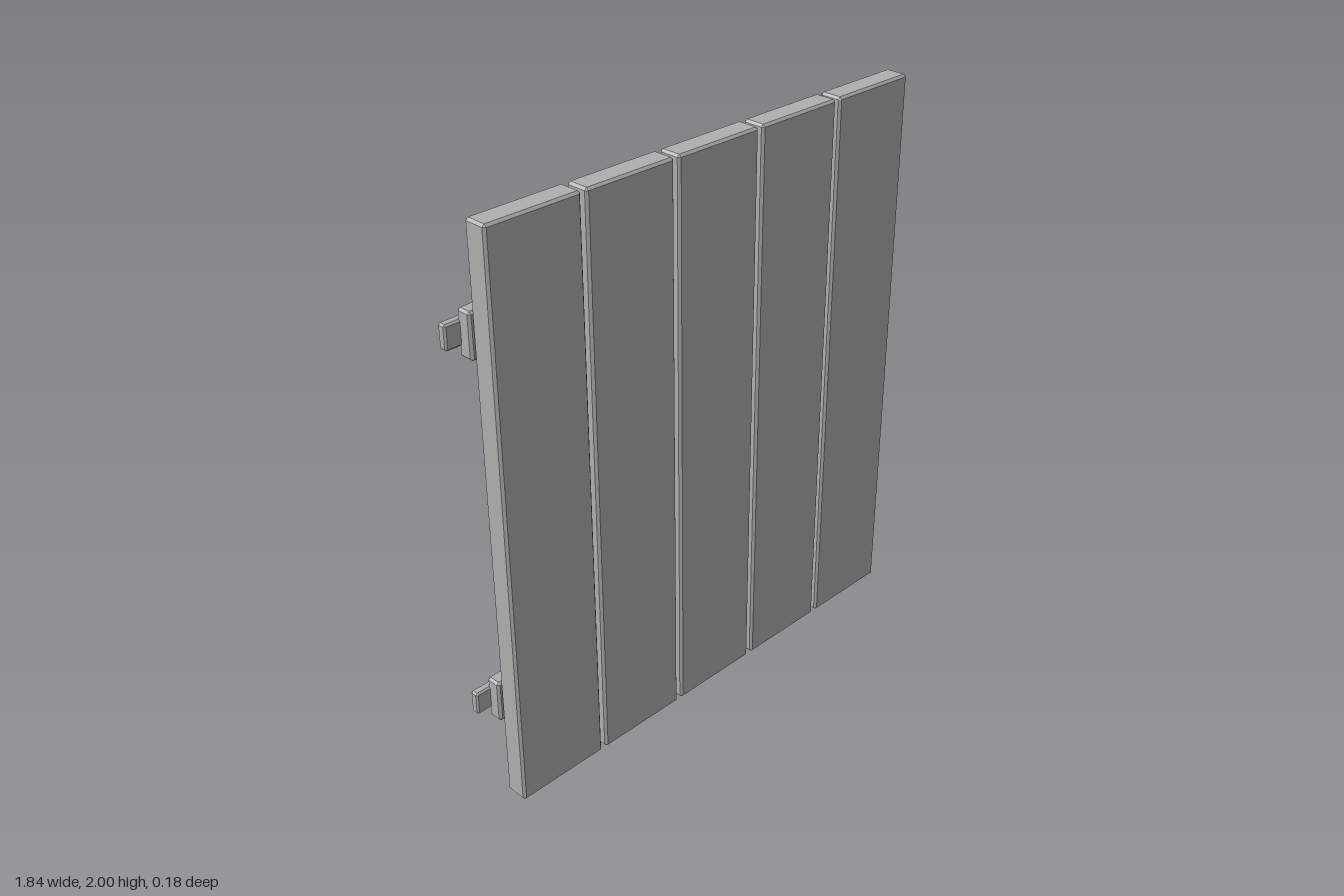
import * as THREE from 'three';
import { ConvexGeometry } from 'three/addons/geometries/ConvexGeometry.js';

const wood = new THREE.MeshStandardMaterial({ color: 0xb0b0b0 });
wood.name = 'plainGrey';
wood.flatShading = true;

// Box with a single flat chamfer on every edge
function chamferBox(w, h, d, c) {
  const points = [];
  for (const sx of [-1, 1]) for (const sy of [-1, 1]) for (const sz of [-1, 1]) {
    const x = w / 2, y = h / 2, z = d / 2;
    points.push(
      new THREE.Vector3(sx * x, sy * (y - c), sz * (z - c)),
      new THREE.Vector3(sx * (x - c), sy * y, sz * (z - c)),
      new THREE.Vector3(sx * (x - c), sy * (y - c), sz * z));
  }
  return new ConvexGeometry(points);
}

// Beam given by its extents on each axis
function beam(name, [x0, x1], [y0, y1], [z0, z1], c = 0.008) {
  const mesh = new THREE.Mesh(chamferBox(x1 - x0, y1 - y0, z1 - z0, c), wood);
  mesh.name = name;
  mesh.position.set((x0 + x1) / 2, (y0 + y1) / 2, (z0 + z1) / 2);
  return mesh;
}

export function createModel() {
  const door = new THREE.Group();
  door.name = 'plankDoor';

  // Five upright planks with narrow gaps
  for (let i = 0; i < 5; i++) {
    const x = -0.858 + i * 0.357;
    door.add(beam('plank' + (i + 1), [x, x + 0.34], [0, 2], [0.007, 0.09]));
  }

  // Cross rails on the back, each with a hinge tongue
  for (const [label, y] of [['lower', 0.36], ['upper', 1.646]]) {
    door.add(beam(label + 'Rail', [-0.866, 0.915], [y - 0.076, y + 0.076], [-0.049, 0.006]));
    door.add(beam(label + 'Hinge', [-0.92, -0.672], [y - 0.04, y + 0.042], [-0.067, -0.036], 0.006));
  }

  // Diagonal brace, rising towards the handle side
  const brace = beam('diagonalBrace', [-0.954, 0.954], [-0.034, 0.034], [-0.09, 0.043]);
  brace.position.x = 0.023;
  brace.position.y = 1.005;
  brace.rotation.z = 0.623;
  door.add(brace);

  // Round handle disc with chamfered rims
  const profile = [[0, -0.014], [0.07, -0.014], [0.078, -0.007], [0.078, 0.007], [0.07, 0.014], [0, 0.014]]
    .map(([r, y]) => new THREE.Vector2(r, y));
  const handle = new THREE.Mesh(new THREE.LatheGeometry(profile, 12), wood);
  handle.name = 'handle';
  handle.rotation.x = Math.PI / 2;
  handle.position.set(0.735, 1.007, -0.06);
  door.add(handle);

  return door;
}
